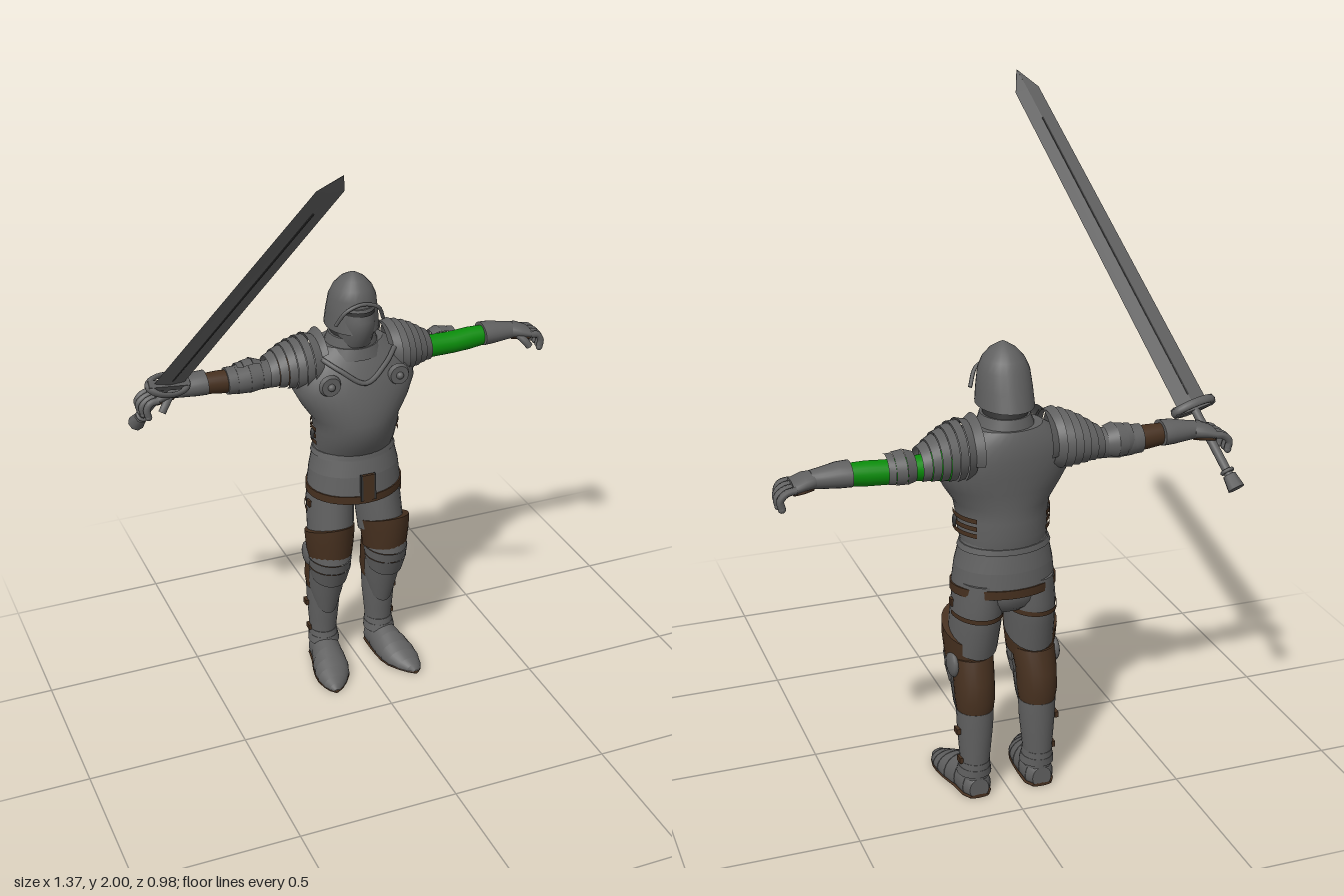
import * as THREE from 'three';
import { mergeGeometries } from 'three/addons/utils/BufferGeometryUtils.js';

const mat = (name, color) => {
  const m = new THREE.MeshStandardMaterial({ color, side: THREE.DoubleSide });
  m.name = name;
  return m;
};

// Elliptical loft along an axis. Row: [position, centreA, centreB, radiusA, radiusB, tilt]
// y axis: A = x, B = z;  x and z axes: A = y, B = the remaining axis.
function loft(axis, rows, { seg = 24, arc = null, floor = -9 } = {}) {
  const pos = [], idx = [], [a0, a1] = arc || [0, Math.PI * 2];
  const put = (r, j) => {
    const th = a0 + (a1 - a0) * j / seg, c = Math.cos(th), s = Math.sin(th);
    const [t, ca, cb, ra, rb, tilt = 0] = r, u = t + tilt * s;
    if (axis === 'y') pos.push(ca + ra * c, u, cb + rb * s);
    if (axis === 'x') pos.push(u, ca + ra * s, cb + rb * c);
    if (axis === 'z') pos.push(cb + rb * s, Math.max(floor, ca + ra * c), u);
  };
  const n = arc ? seg + 1 : seg;
  rows.forEach(r => { for (let j = 0; j < n; j++) put(r, j); });
  for (let i = 0; i < rows.length - 1; i++) for (let j = 0; j < seg; j++) {
    const a = i * n + j, b = i * n + (j + 1) % n, c = a + n, d = b + n;
    idx.push(a, c, b, b, c, d);
  }
  if (!arc) [rows[0], rows[rows.length - 1]].forEach((r, k) => { // end caps
    const s = pos.length / 3;
    for (let j = 0; j < seg; j++) put(r, j);
    for (let j = 1; j < seg - 1; j++) k ? idx.push(s, s + j + 1, s + j) : idx.push(s, s + j, s + j + 1);
  });
  const g = new THREE.BufferGeometry();
  g.setAttribute('position', new THREE.Float32BufferAttribute(pos, 3));
  g.setIndex(idx);
  g.computeVertexNormals();
  return g;
}

// Overlapping plates: each one flares a little over the next
const lames = (axis, rows, flare, opt) => mergeGeometries(rows.slice(0, -1).map((r, i) => {
  const q = rows[i + 1].slice();
  q[3] *= flare; q[4] *= flare;
  return loft(axis, [r, q], opt);
}));

function mirrored(geo) {
  const g = geo.clone().scale(-1, 1, 1), ix = g.index.array;
  for (let i = 0; i < ix.length; i += 3) [ix[i], ix[i + 1]] = [ix[i + 1], ix[i]];
  return g;
}

export function createModel() {
  const steel = mat('steel', 0x606060), dark = mat('dark steel', 0x333333);
  const leather = mat('brown leather', 0x46301f), cloth = mat('green cloth', 0x0a8c0a);
  const root = new THREE.Group();
  const add = (name, geo, m, parent = root) => {
    const mesh = new THREE.Mesh(geo, m);
    mesh.name = name;
    parent.add(mesh);
    return mesh;
  };
  const both = (name, geo, m) => {
    add(name + 'Left', geo, m);
    add(name + 'Right', mirrored(geo), m);
  };
  const ball = (x, y, z, r, sx = 1, sy = 1, sz = 1) =>
    new THREE.SphereGeometry(r, 14, 10).scale(sx, sy, sz).translate(x, y, z);
  const tube = (pts, r, n = 10) =>
    new THREE.TubeGeometry(new THREE.CatmullRomCurve3(pts.map(p => new THREE.Vector3(...p))), n, r, 7);

  // Helmet, visor and neck
  add('helmet', loft('y', [[1.22, 0, -.32, .082, .108], [1.27, 0, -.315, .079, .094], [1.32, 0, -.31, .073, .081],
    [1.35, 0, -.307, .06, .067], [1.375, 0, -.305, .038, .043], [1.39, 0, -.303, .014, .016], [1.396, 0, -.302, .002, .002]]), steel);
  add('visor', loft('y', [[1.17, 0, -.295, .05, .06], [1.22, 0, -.287, .057, .08], [1.26, 0, -.285, .06, .08],
    [1.3, 0, -.285, .055, .066]]), steel);
  add('eyeSlit', loft('y', [[1.282, 0, -.285, .058, .077], [1.294, 0, -.285, .058, .075]], { arc: [.15, Math.PI - .15] }), dark);
  add('helmetBrow', tube([[-.078, 1.25, -.25], [-.052, 1.3, -.226], [0, 1.318, -.222], [.052, 1.3, -.226], [.078, 1.25, -.25]], .006, 20), steel);
  add('neck', loft('y', [[1.12, 0, -.335, .075, .075], [1.24, 0, -.32, .058, .07]]), dark);
  add('gorget', lames('y', [[1.13, 0, -.325, .105, .1], [1.165, 0, -.325, .082, .085], [1.195, 0, -.322, .068, .075]], 1.05), steel);

  // Breastplate and its raised collar edge
  add('cuirass', loft('y', [[.8, 0, -.32, .125, .1], [.84, 0, -.31, .132, .116], [.89, 0, -.298, .135, .126],
    [.93, 0, -.296, .142, .127], [.98, 0, -.3, .175, .127], [1.03, 0, -.31, .2, .122], [1.08, 0, -.32, .195, .115],
    [1.13, 0, -.332, .16, .1], [1.165, 0, -.335, .105, .082]], { seg: 36 }), steel);
  add('collarEdge', tube([[-.12, 1.14, -.262], [-.075, 1.11, -.222], [0, 1.065, -.198], [.075, 1.11, -.222], [.12, 1.14, -.262]], .008, 24), steel);
  both('armpitDisc', new THREE.CylinderGeometry(.03, .036, .014, 20).rotateX(Math.PI / 2).translate(.113, 1.07, -.208), steel);
  both('armpitBoss', ball(.113, 1.07, -.2, .012), steel);
  for (const y of [.85, .872, .895])
    both('sideStrap', loft('y', [[y - .007, 0, -.3, .142, .126], [y + .007, 0, -.3, .142, .126]], { arc: [-.75, .2], seg: 8 }), leather);
  both('sideBuckle', ball(.142, .872, -.3, .012, .6, 1.6, 1), dark);

  // Skirt of plates with leather hem
  add('skirt', lames('y', [[.67, 0, -.315, .155, .125], [.74, 0, -.316, .147, .117], [.79, 0, -.318, .136, .105],
    [.82, 0, -.32, .127, .1]], 1.0, { seg: 32 }), steel);
  add('waistEdge', loft('y', [[.795, 0, -.32, .139, .108], [.812, 0, -.32, .133, .105]]), steel);
  add('skirtHem', loft('y', [[.658, 0, -.315, .158, .128, -.008], [.684, 0, -.315, .158, .128, -.008]], { seg: 32 }), leather);
  add('frontFlap', new THREE.BoxGeometry(.04, .09, .01).translate(0, .706, -.189), leather);
  both('frontFlapEdge', new THREE.BoxGeometry(.006, .09, .012).translate(.022, .706, -.189), dark);
  add('seat', ball(0, .66, -.335, .1, 1.2, .75, .9), steel);

  // Legs
  both('thighPlate', loft('y', [[.49, .088, -.3, .072, .09, .035], [.56, .084, -.312, .073, .1, .01],
    [.62, .081, -.32, .073, .102], [.7, .078, -.322, .068, .098]]), steel);
  both('thighWrap', loft('y', [[.43, .096, -.288, .07, .085, .02], [.49, .096, -.287, .077, .092, .03],
    [.53, .095, -.29, .08, .094, .034]]), leather);
  both('backThighStrap', loft('y', [[.585, .083, -.317, .076, .105], [.6, .083, -.318, .076, .105]], { arc: [Math.PI, 2 * Math.PI] }), leather);
  both('calfWrap', loft('y', [[.27, .098, -.352, .053, .055], [.32, .098, -.352, .06, .062], [.38, .098, -.342, .061, .066],
    [.45, .097, -.31, .066, .075]]), leather);
  both('kneePlate', lames('y', [[.35, .098, -.295, .058, .065, -.015], [.395, .098, -.288, .066, .08], [.43, .098, -.286, .068, .085],
    [.47, .098, -.288, .066, .08, .01]], 1.03, { arc: [-.3, Math.PI + .3] }), steel);
  both('kneeWing', new THREE.SphereGeometry(.04, 16, 10).scale(.4, 1, 1).translate(.158, .425, -.325), steel);
  both('shinPoint', loft('y', [[.24, .098, -.335, .04, .045, -.04], [.3, .098, -.33, .056, .065, -.02], [.37, .098, -.315, .062, .075]],
    { arc: [0, Math.PI] }), steel);
  both('greave', loft('y', [[.06, .1, -.355, .043, .046], [.1, .1, -.357, .043, .047], [.16, .099, -.355, .048, .052],
    [.23, .098, -.353, .054, .057], [.285, .098, -.352, .056, .058]]), steel);
  for (const [y, r] of [[.12, .048], [.22, .057]])
    both('greaveBuckle', new THREE.BoxGeometry(.012, .018, .026).translate(.098 + r, y, -.36), leather);
  both('thighBuckle', new THREE.BoxGeometry(.012, .022, .02).translate(.154, .62, -.31), leather);
  both('ankleCuff', lames('y', [[.07, .1, -.35, .052, .055], [.095, .1, -.354, .047, .052], [.115, .1, -.356, .044, .049]], 1.02), steel);

  // Plated shoes with leather soles
  const foot = [[-.4, .03, .1, .035, .03], [-.375, .03, .1, .055, .045], [-.32, .03, .104, .066, .05], [-.27, .02, .112, .062, .056],
    [-.23, .02, .118, .048, .058], [-.195, .015, .124, .039, .054], [-.16, .01, .132, .029, .04], [-.135, .01, .138, .018, .024],
    [-.122, .008, .141, .006, .008]];
  both('shoe', lames('z', foot.map((r, i) => i < 3 ? r : [r[0], r[1], r[2], r[3] * 1.03, r[4] * 1.02]), .97, { floor: .01 }), steel);
  both('sole', loft('z', foot.map(r => [r[0], .006, r[2], .006, r[4] * 1.03])), leather);

  // Shoulders: layered plates stepping down the arm
  both('pauldron', lames('x', [[.115, 1.105, -.34, .082, .088], [.145, 1.105, -.343, .084, .094], [.17, 1.102, -.345, .08, .093],
    [.195, 1.1, -.35, .073, .085], [.22, 1.096, -.354, .065, .076], [.245, 1.09, -.358, .055, .066], [.27, 1.083, -.36, .046, .054]],
  1.07, { arc: [-.9, Math.PI + .9] }), steel);
  both('pauldronCrest', loft('x', [[.098, 1.11, -.345, .095, .1], [.122, 1.105, -.343, .08, .09]], { arc: [.5, Math.PI + .3] }), steel);

  // Arms: cloth sleeve on the left, plate and leather on the right
  const sleeve = loft('x', [[.18, 1.07, -.36, .045, .045], [.28, 1.073, -.36, .036, .037], [.36, 1.073, -.36, .035, .037],
    [.42, 1.077, -.36, .036, .035], [.5, 1.082, -.36, .03, .03]]);
  add('sleeveLeft', sleeve, cloth);
  add('sleeveRight', mirrored(sleeve), leather);
  const armPlate = lames('x', [[.25, 1.076, -.36, .043, .044], [.29, 1.076, -.36, .043, .046], [.33, 1.075, -.36, .046, .05],
    [.37, 1.075, -.36, .043, .046], [.4, 1.076, -.36, .041, .042]], 1.03);
  add('armPlateRight', mirrored(armPlate), steel);
  both('elbowPlate', lames('x', [[.285, 1.08, -.362, .044, .046], [.315, 1.082, -.364, .05, .056], [.345, 1.08, -.363, .046, .05],
    [.365, 1.08, -.362, .044, .042]], 1.04, { arc: [.35 * Math.PI, 1.25 * Math.PI] }), steel);
  both('gauntletCuff', loft('x', [[.465, 1.084, -.361, .037, .047], [.5, 1.084, -.361, .036, .044], [.55, 1.081, -.36, .029, .034],
    [.575, 1.08, -.36, .026, .03]]), steel);
  both('handBack', loft('x', [[.565, 1.08, -.36, .025, .032], [.595, 1.078, -.36, .023, .045], [.63, 1.068, -.36, .017, .046]]), steel);
  both('palm', loft('x', [[.57, 1.064, -.36, .014, .026], [.6, 1.059, -.36, .012, .036], [.628, 1.055, -.36, .01, .036]]), leather);
  for (let i = 0; i < 4; i++) { // four curled fingers
    const z = -.398 + i * .026, x = .665 + .008 * Math.sin(i + .6);
    both('finger', tube([[.622, 1.07, z], [.65, 1.065, z], [x, 1.045, z], [x - .004, 1.022, z]], .011), steel);
    both('fingertip', ball(x - .004, 1.02, z, .011), steel);
  }
  both('thumb', tube([[.585, 1.07, -.335], [.605, 1.05, -.318], [.618, 1.032, -.312]], .012), steel);

  // Sword, built upright from pommel to tip and then swung into place
  const sword = new THREE.Group();
  sword.name = 'sword';
  const L = 1.46;
  const blade = loft('y', [[.27, 0, 0, .05, .007], [L - .075, 0, 0, .041, .005], [L, 0, 0, .001, .001]], { seg: 4 }).toNonIndexed();
  blade.computeVertexNormals();
  add('blade', blade, steel, sword);
  for (const s of [-1, 1]) add('fuller', new THREE.BoxGeometry(.005, .98, .003).translate(0, .79, s * .0062), dark, sword);
  add('grip', new THREE.CylinderGeometry(.013, .013, .26, 12).translate(0, .14, 0), steel, sword);
  add('pommel', new THREE.CylinderGeometry(.02, .026, .045, 8).translate(0, .01, 0), steel, sword);
  add('pommelCollar', new THREE.TorusGeometry(.016, .006, 6, 14).rotateX(Math.PI / 2).translate(0, .045, 0), steel, sword);
  add('guardBar', new THREE.BoxGeometry(.135, .028, .024).translate(0, .262, 0), steel, sword);
  add('guardRing', new THREE.TorusGeometry(.062, .013, 10, 28).rotateX(Math.PI / 2).scale(1, 1, .55).translate(0, .262, 0), steel, sword);
  const start = new THREE.Vector3(-.656, .937, -.47);
  const dir = new THREE.Vector3(-.33, 2, .485).sub(start).normalize();
  const wide = new THREE.Vector3(1, 0, 0).addScaledVector(dir, -dir.x).normalize();
  sword.quaternion.setFromRotationMatrix(new THREE.Matrix4().makeBasis(wide, dir, wide.clone().cross(dir)));
  sword.position.copy(start);
  root.add(sword);
  return root;
}
